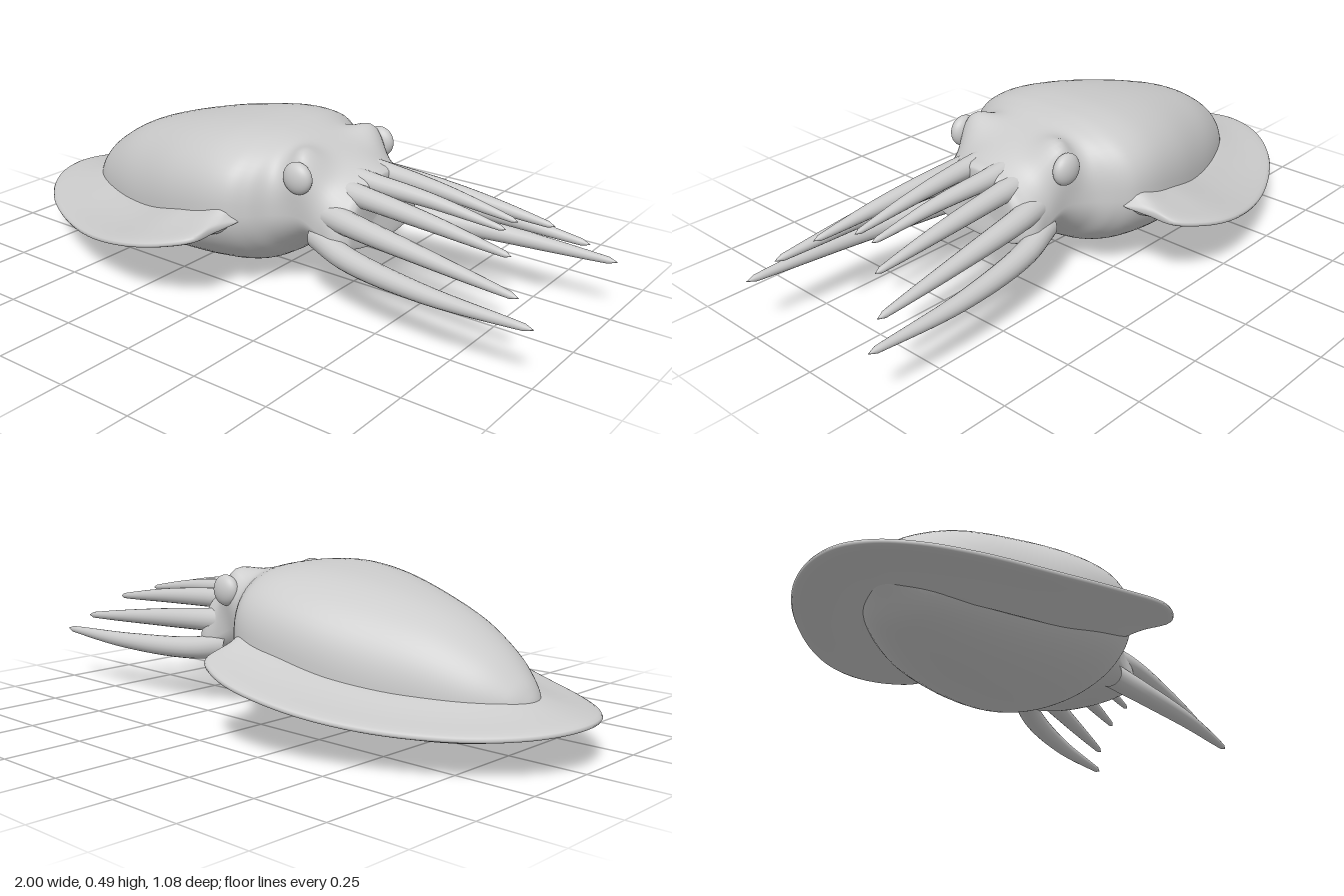
import * as THREE from 'three';

const material = new THREE.MeshStandardMaterial({ color: 0xcccccc, roughness: 0.7 });

// Skin a list of closed rings, each an array of Vector3 of the same length
function loft(rings) {
  const n = rings[0].length, pos = [], index = [];
  rings.forEach(r => r.forEach(p => pos.push(p.x, p.y, p.z)));
  for (let i = 0; i < rings.length - 1; i++) {
    for (let j = 0; j < n; j++) {
      const a = i * n + j, b = i * n + (j + 1) % n;
      index.push(a, a + n, b, b, a + n, b + n);
    }
  }
  const g = new THREE.BufferGeometry();
  g.setAttribute('position', new THREE.Float32BufferAttribute(pos, 3));
  g.setIndex(index);
  g.computeVertexNormals();
  return g;
}

function mesh(name, geometry) {
  const m = new THREE.Mesh(geometry, material);
  m.name = name;
  return m;
}

const spow = (v, e) => Math.sign(v) * Math.abs(v) ** e;
const gauss = (d, s) => Math.exp(-((d / s) ** 2));
const ring = (n, f) => Array.from({ length: n }, (_, j) => f((j / n) * Math.PI * 2));

// Mantle and head: x, half width, top, bottom, height of widest point, upper squareness
const bodyStations = [
  [-0.835, 0.0, 0.15, 0.15, 0.15, 2],
  [-0.825, 0.04, 0.185, 0.12, 0.15, 2],
  [-0.79, 0.09, 0.235, 0.09, 0.15, 2],
  [-0.71, 0.155, 0.305, 0.035, 0.15, 2.1],
  [-0.58, 0.222, 0.38, 0.01, 0.16, 2.2],
  [-0.42, 0.285, 0.435, 0.0, 0.18, 2.3],
  [-0.25, 0.335, 0.474, 0.01, 0.22, 2.5],
  [-0.1, 0.356, 0.493, 0.025, 0.25, 2.7],
  [0.0, 0.345, 0.492, 0.04, 0.27, 2.7],
  [0.06, 0.305, 0.483, 0.07, 0.27, 2.6],
  [0.11, 0.25, 0.47, 0.105, 0.27, 2.5],
  [0.18, 0.21, 0.45, 0.145, 0.27, 2.4],
  [0.25, 0.205, 0.425, 0.16, 0.24, 2.2],
  [0.31, 0.21, 0.405, 0.165, 0.215, 2],
  [0.345, 0.19, 0.395, 0.17, 0.215, 2],
  [0.355, 0.15, 0.37, 0.185, 0.22, 2],
  [0.345, 0.0, 0.27, 0.27, 0.27, 2],
];

function bodyGeometry() {
  const columns = [1, 2, 3, 4, 5].map(k =>
    new THREE.SplineCurve(bodyStations.map(s => new THREE.Vector2(s[0], s[k]))));
  const rings = [], steps = 112;
  for (let i = 0; i <= steps; i++) {
    const pts = columns.map(c => c.getPoint(i / steps));
    const x = pts[0].x;
    const [w, top, bottom, side, n] = pts.map(p => p.y);
    rings.push(ring(64, a => {
      const s = Math.sin(a), c = Math.cos(a), e = s > 0 ? 2 / n : 1;
      let z = Math.max(w, 0) * spow(c, e);
      let y = side + (s > 0 ? top - side : side - bottom) * spow(s, e);
      // Brow swelling over each eye
      if (x < 0.34) {
        const bulge = 0.036 * gauss(x - 0.19, 0.06) * gauss(y - 0.4, 0.08);
        if (s > 0) y += 0.075 * s * gauss(x - 0.19, 0.058) * gauss(Math.abs(z) - 0.165, 0.065);
        z += Math.sign(z) * bulge * Math.min(1, Math.abs(z) / 0.15);
      }
      return new THREE.Vector3(x, y, z);
    }));
  }
  return loft(rings);
}

// Fin, tail to front: outer x, outer z, outer y, root x, root z
const finStations = [
  [-1, 0, 0.128, -0.7, 0],
  [-0.98, 0.1, 0.125, -0.7, 0.05],
  [-0.92, 0.2, 0.12, -0.67, 0.1],
  [-0.8, 0.31, 0.117, -0.6, 0.16],
  [-0.6, 0.425, 0.125, -0.47, 0.22],
  [-0.4, 0.503, 0.15, -0.32, 0.26],
  [-0.2, 0.54, 0.19, -0.17, 0.3],
  [-0.08, 0.52, 0.215, -0.08, 0.3],
  [0.0, 0.475, 0.235, -0.03, 0.3],
  [0.018, 0.4, 0.248, 0.0, 0.29],
  [0.045, 0.32, 0.255, 0.02, 0.28],
];

function finGeometry() {
  const mirrored = finStations.slice(1).reverse().map(([x, z, y, rx, rz]) => [x, -z, y, rx, -rz]);
  const all = [...mirrored, ...finStations];
  const outer = new THREE.CatmullRomCurve3(all.map(s => new THREE.Vector3(s[0], s[2], s[1])));
  const root = new THREE.CatmullRomCurve3(all.map(s => new THREE.Vector3(s[3], s[2] + 0.02, s[4])));
  const rings = [], steps = 120;
  for (let i = 0; i <= steps; i++) {
    const o = outer.getPoint(i / steps), r = root.getPoint(i / steps);
    const end = Math.min(1, Math.min(i, steps - i) / 5) ** 0.5;
    rings.push(ring(28, a => {
      const s = (1 + Math.cos(a)) / 2;
      const p = r.clone().lerp(o, s);
      p.y += spow(Math.sin(a), 0.7) * (0.018 + 0.07 * (1 - s) ** 3) * end;
      return p;
    }));
  }
  return loft(rings);
}

// Arms of one side: base radius, then path points from head to tip
const arms = [
  ['innerArm', 0.034, [[0.26, 0.375, 0.05], [0.36, 0.37, 0.05], [0.55, 0.358, 0.042], [0.785, 0.328, 0.036]]],
  ['upperArm', 0.038, [[0.26, 0.345, 0.1], [0.36, 0.343, 0.108], [0.6, 0.327, 0.122], [0.855, 0.3, 0.132]]],
  ['sideArm', 0.042, [[0.24, 0.285, 0.155], [0.36, 0.28, 0.18], [0.6, 0.262, 0.202], [0.93, 0.232, 0.222]]],
  ['lowerArm', 0.042, [[0.22, 0.21, 0.165], [0.36, 0.188, 0.212], [0.65, 0.178, 0.256], [1.0, 0.18, 0.265]]],
];

function armGeometry(radius, points, side) {
  const path = new THREE.CatmullRomCurve3(points.map(([x, y, z]) => new THREE.Vector3(x, y, z * side)));
  const rings = [], steps = 36;
  for (let i = 0; i <= steps; i++) {
    const t = i / steps, p = path.getPoint(t);
    const tip = Math.sqrt(Math.max(0, 1 - Math.max(0, (t - 0.97) / 0.03) ** 2));
    const r = radius * (1 - 0.3 * t - 0.5 * t ** 3) * tip;
    rings.push(ring(18, a => new THREE.Vector3(p.x, p.y + r * Math.sin(a), p.z + r * Math.cos(a))));
  }
  return loft(rings);
}

export function createModel() {
  const group = new THREE.Group();
  group.name = 'cuttlefish';
  group.add(mesh('mantleAndHead', bodyGeometry()), mesh('fin', finGeometry()));

  for (const side of [1, -1]) {
    const label = side > 0 ? 'Left' : 'Right';
    for (const [name, radius, points] of arms) {
      group.add(mesh(name + label, armGeometry(radius, points, side)));
    }
    // Lens-shaped eye
    const eye = mesh('eye' + label, new THREE.SphereGeometry(0.05, 32, 20));
    eye.scale.z = 0.6;
    eye.position.set(0.19, 0.398, 0.216 * side);
    group.add(eye);
  }
  return group;
}
